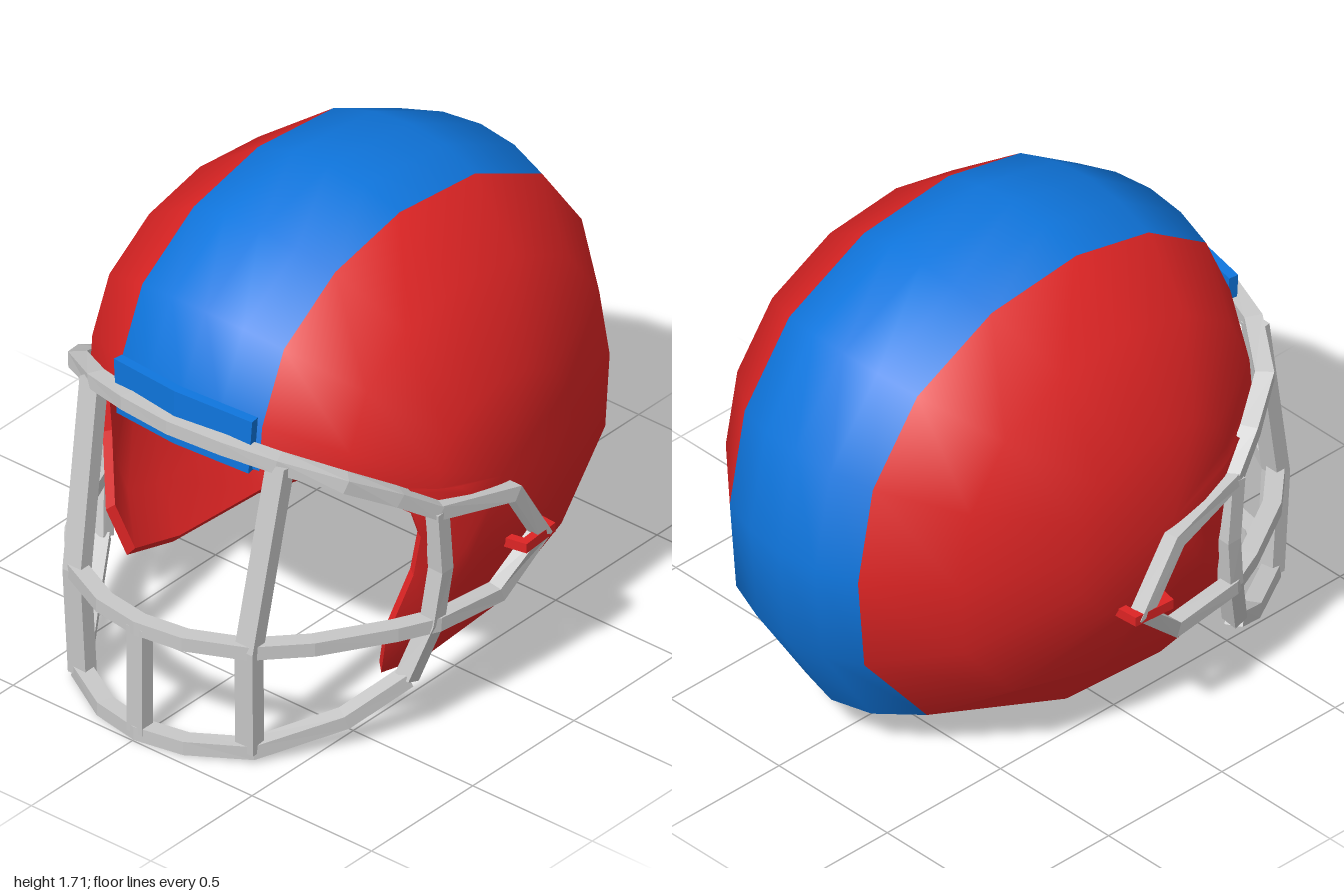
import * as THREE from 'three';

const red = new THREE.MeshStandardMaterial({ color: 0xdd2424, side: THREE.DoubleSide });
red.name = 'shell red';
const blue = new THREE.MeshStandardMaterial({ color: 0x0f76de, side: THREE.DoubleSide });
blue.name = 'stripe blue';
const grey = new THREE.MeshStandardMaterial({ color: 0xc8c8c8 });
grey.name = 'cage grey';

const CY = 0.85, CZ = 0.04, HALF = 0.74, POW = 2.2, EDGE = 0.937;
const width = (s) => HALF * Math.pow(1 - Math.pow(s, POW), 1 / POW);

// Centre profile over the head, brow to nape: [z, y]
const profile = [[0.77, 1.03], [0.755, 1.2], [0.64, 1.46], [0.37, 1.64], [0.03, 1.715], [-0.37, 1.675],
  [-0.72, 1.5], [-0.93, 1.21], [-1, 0.85], [-0.97, 0.49], [-0.675, 0.13]];
const nape = [-0.77, 0.15];
// Lower and face opening, nape to brow: [z, y, fullness]
const opening = [[-0.21, 0.135, 0.78], [0.18, 0.135, 0.75], [0.4, 0.19, 0.74], [0.44, 0.36, 0.66],
  [0.38, 0.6, 0.53], [0.37, 0.75, 0.47], [0.4, 0.85, 0.5], [0.55, 0.97, 0.7]];

function makeShell() {
  const top = profile.length, rows = top + opening.length, COLS = 9;
  const outer = [];
  const levels = [1, 0.78, 0.4];
  for (let i = 0; i < rows; i++) {
    const [z, y, s = EDGE] = i < top ? profile[i] : opening[i - top];
    const k = i < top ? EDGE : 1;
    const edge = [width(s), CY + (y - CY) * k, CZ + (z - CZ) * k];
    const left = levels.map((t) => [width(s * t), CY + (edge[1] - CY) * t, CZ + (edge[2] - CZ) * t]);
    const [mz, my] = i === top - 1 ? nape : [z, y];
    const mid = i < top
      ? [[0.15, 0.75], [0, 1], [-0.15, 0.75]].map(([x, t]) => [x, edge[1] + (my - edge[1]) * t, edge[2] + (mz - edge[2]) * t])
      : [edge, edge, edge];
    const right = left.map(([x, py, pz]) => [-x, py, pz]);
    outer.push(...left.slice().reverse(), ...mid, ...right);
  }
  const poleL = outer.push([HALF, CY, CZ]) - 1;
  const poleR = outer.push([-HALF, CY, CZ]) - 1;
  const id = (i, c) => (i % rows) * COLS + c;
  const redFaces = [], blueFaces = [];
  const quad = (list, a, b, c, d) => list.push(a, b, c, a, c, d);
  for (let i = 0; i < rows; i++) {
    redFaces.push(poleL, id(i + 1, 0), id(i, 0), poleR, id(i, 8), id(i + 1, 8));
    for (let c = 0; c < 8; c++) {
      const stripe = c >= 2 && c < 6;
      if (stripe && i >= top - 1) continue;
      quad(stripe ? blueFaces : redFaces, id(i, c), id(i + 1, c), id(i + 1, c + 1), id(i, c + 1));
    }
  }
  const inner = outer.map(([x, y, z]) => [x * 0.96, CY + (y - CY) * 0.96, z * 0.96]);
  const group = new THREE.Group();
  group.name = 'shell';

  // Smooth outer and inner skins
  const skin = (name, pts, flip) => {
    const g = new THREE.BufferGeometry();
    const order = (list) => (flip ? list.slice().reverse() : list);
    g.setAttribute('position', new THREE.Float32BufferAttribute(pts.flat(), 3));
    g.setIndex([...order(redFaces), ...order(blueFaces)]);
    g.addGroup(0, redFaces.length, 0);
    g.addGroup(redFaces.length, blueFaces.length, 1);
    g.computeVertexNormals();
    const m = new THREE.Mesh(g, [red, blue]);
    m.name = name;
    group.add(m);
  };
  skin('outerShell', outer, false);
  skin('innerShell', inner, true);

  // Flat rim joining the skins
  const rim = (name, edges, material) => {
    const pos = [];
    for (const [a, b] of edges) {
      for (const p of [outer[a], inner[a], inner[b], outer[a], inner[b], outer[b]]) pos.push(...p);
    }
    const g = new THREE.BufferGeometry();
    g.setAttribute('position', new THREE.Float32BufferAttribute(pos, 3));
    g.computeVertexNormals();
    const m = new THREE.Mesh(g, material);
    m.name = name;
    group.add(m);
  };
  const sideEdges = [], stripeEdges = [];
  for (let i = top - 1; i < rows; i++) sideEdges.push([id(i, 2), id(i + 1, 2)], [id(i + 1, 6), id(i, 6)]);
  for (let c = 2; c < 6; c++) stripeEdges.push([id(0, c + 1), id(0, c)], [id(top - 1, c), id(top - 1, c + 1)]);
  rim('sideRim', sideEdges, red);
  rim('stripeRim', stripeEdges, blue);
  return group;
}

// Rectangular bar swept along a polyline; h lies along ref, w across it
function bar(name, points, w, h, ref, material = grey) {
  const p = points.map((a) => new THREE.Vector3(...a));
  const r = new THREE.Vector3(...ref);
  const rings = p.map((c, i) => {
    const before = p[i].clone().sub(p[Math.max(i - 1, 0)]).normalize();
    const after = p[Math.min(i + 1, p.length - 1)].clone().sub(p[i]).normalize();
    const t = before.clone().add(after).normalize();
    const mitre = 1 / Math.max(0.6, t.dot(i ? before : after));
    const n = r.clone().cross(t).normalize();
    const b = t.clone().cross(n);
    return [[1, 1], [-1, 1], [-1, -1], [1, -1]].map(([u, v]) =>
      c.clone().addScaledVector(n, u * w * mitre / 2).addScaledVector(b, v * h / 2));
  });
  const pos = [];
  const quad = (a, b, c, d) => [a, b, c, a, c, d].forEach((v) => pos.push(v.x, v.y, v.z));
  for (let i = 0; i + 1 < rings.length; i++) {
    for (let k = 0; k < 4; k++) {
      const l = (k + 1) % 4;
      quad(rings[i][k], rings[i][l], rings[i + 1][l], rings[i + 1][k]);
    }
  }
  const end = rings[rings.length - 1];
  quad(...rings[0].slice().reverse());
  quad(...end);
  const g = new THREE.BufferGeometry();
  g.setAttribute('position', new THREE.Float32BufferAttribute(pos, 3));
  g.computeVertexNormals();
  const m = new THREE.Mesh(g, material);
  m.name = name;
  return m;
}

const X = [1, 0, 0], Y = [0, 1, 0], Z = [0, 0, 1];
const flip = (pts) => pts.map(([x, y, z]) => [-x, y, z]);
const across = (half) => [...flip(half.slice(1)).reverse(), ...half];

export function createModel() {
  const model = new THREE.Group();
  model.name = 'helmet';
  model.add(makeShell());

  // Brow bumper
  model.add(bar('browBumper', across([[0, 1.135, 0.778], [0.28, 1.115, 0.735]]), 0.035, 0.2, Y, blue));

  // Face cage: bars running across
  const cage = new THREE.Group();
  cage.name = 'faceCage';
  cage.add(bar('topBar', across([[0, 1.115, 0.805], [0.2, 1.112, 0.785], [0.38, 1.09, 0.73],
    [0.56, 1.03, 0.61], [0.65, 0.94, 0.46], [0.705, 0.85, 0.33]]), 0.06, 0.05, Y));
  cage.add(bar('middleBar', across([[0, 0.43, 0.965], [0.17, 0.43, 0.94], [0.36, 0.43, 0.85],
    [0.5, 0.43, 0.7], [0.64, 0.425, 0.46], [0.7, 0.42, 0.32]]), 0.06, 0.05, Y));
  cage.add(bar('bottomBar', across([[0, 0.03, 0.965], [0.17, 0.032, 0.935], [0.36, 0.042, 0.83],
    [0.53, 0.105, 0.58], [0.64, 0.22, 0.4]]), 0.06, 0.05, Y));
  cage.add(bar('centreBar', [[0, 0.43, 0.965], [0, 0.03, 0.965]], 0.065, 0.055, Z));

  // Mirrored parts
  for (const side of ['left', 'right']) {
    const m = (pts) => (side === 'left' ? pts : flip(pts));
    cage.add(bar(side + 'FrontBar', m([[0.39, 1.09, 0.73], [0.36, 0.43, 0.85], [0.35, 0.04, 0.835]]), 0.075, 0.055, Z));
    cage.add(bar(side + 'SideBar', m([[0.705, 0.85, 0.33], [0.705, 0.62, 0.31], [0.69, 0.42, 0.335],
      [0.64, 0.22, 0.4]]), 0.055, 0.06, X));
    cage.add(bar(side + 'EarLoop', m([[0.705, 0.85, 0.34], [0.76, 0.79, 0.02], [0.755, 0.565, -0.12],
      [0.72, 0.405, 0.05], [0.7, 0.42, 0.33]]), 0.05, 0.055, X));
    model.add(bar(side + 'CageClip', m([[0.69, 0.565, -0.16], [0.765, 0.565, -0.155], [0.775, 0.565, -0.025],
      [0.7, 0.565, -0.01]]), 0.03, 0.035, Y, red));
  }
  model.add(cage);
  return model;
}
